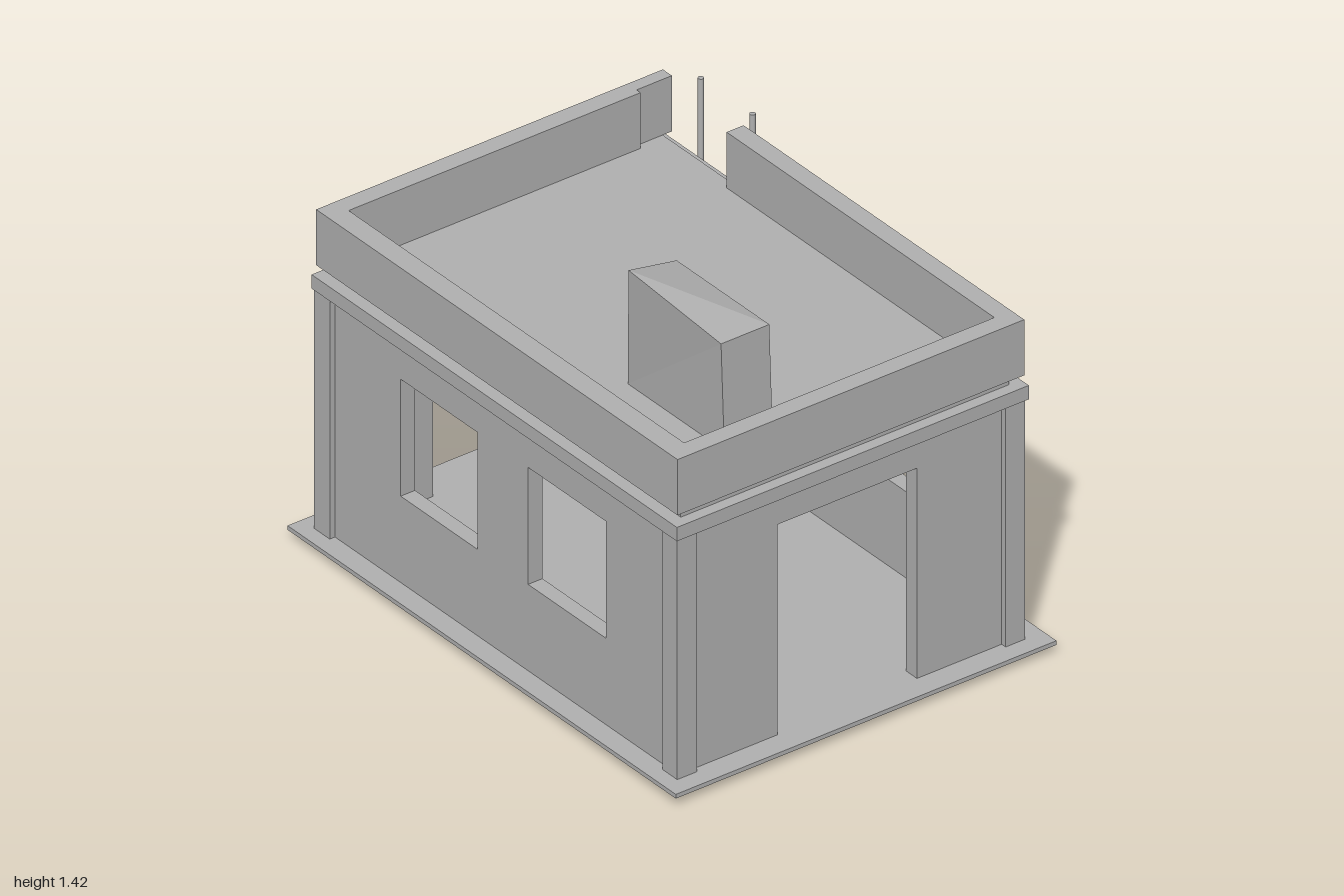
import * as THREE from 'three';

export function createModel() {
  const model = new THREE.Group();
  model.name = 'flatRoofBuilding';
  const concrete = new THREE.MeshStandardMaterial({ color: 0xb2b2b2 });
  concrete.name = 'concrete grey';

  function add(name, geometry) {
    const mesh = new THREE.Mesh(geometry, concrete);
    mesh.name = name;
    model.add(mesh);
    return mesh;
  }
  // Box given by its limits on each axis
  function box(name, x0, x1, y0, y1, z0, z1) {
    const g = new THREE.BoxGeometry(x1 - x0, y1 - y0, z1 - z0);
    g.translate((x0 + x1) / 2, (y0 + y1) / 2, (z0 + z1) / 2);
    return add(name, g);
  }
  const polygon = (pts, Type = THREE.Shape) => new Type(pts.map(p => new THREE.Vector2(...p)));
  const rect = (a, b, c, d) => [[a, c], [b, c], [b, d], [a, d]];

  // Base
  box('foundation', -0.85, 0.9, 0, 0.03, -0.62, 0.64);
  box('groundSlab', -0.95, 1, 0.03, 0.045, -0.725, 0.735);

  // Corner pilasters
  const floor = 0.045, top = 0.905;
  for (const [x0, x1] of [[-0.89, -0.81], [0.86, 0.935]])
    for (const [z0, z1] of [[-0.655, -0.58], [0.605, 0.68]])
      box('cornerPilaster', x0, x1, floor, top, z0, z1);

  // Front and back walls with two windows each, set back from the pilasters
  const thickness = 0.055;
  function windowWall(name, z, openings) {
    const shape = polygon(rect(-0.81, 0.86, floor, top));
    for (const [a, b] of openings)
      shape.holes.push(polygon(rect(a, b, 0.355, 0.775), THREE.Path));
    const g = new THREE.ExtrudeGeometry(shape, { depth: thickness, bevelEnabled: false });
    add(name, g.translate(0, 0, z));
  }
  windowWall('frontWall', 0.605, [[-0.48, -0.095], [0.16, 0.55]]);
  windowWall('backWall', -0.635, [[-0.48, -0.115], [0.16, 0.535]]);

  // Side walls with a tall doorway each
  for (const [name, x] of [['rightWall', -0.815], ['leftWall', 0.915]]) {
    const shape = polygon([
      [-0.58, floor], [-0.255, floor], [-0.255, 0.8], [0.28, 0.8],
      [0.28, floor], [0.605, floor], [0.605, top], [-0.58, top],
    ]);
    const g = new THREE.ExtrudeGeometry(shape, { depth: thickness, bevelEnabled: false });
    add(name, g.rotateY(-Math.PI / 2).translate(x, 0, 0));
  }

  // Cornice and roof
  box('cornice', -0.895, 0.94, 0.905, 0.955, -0.665, 0.685);
  box('roofSlab', -0.85, 0.9, 0.955, 0.99, -0.62, 0.64);
  box('roofCurb', -0.71, 0.76, 0.99, 1.005, 0.47, 0.53);

  // Parapet, open at one back corner
  const p0 = 0.99, p1 = 1.19;
  box('frontParapet', -0.885, 0.93, p0, p1, 0.6, 0.675);
  box('leftParapet', 0.865, 0.93, p0, p1, -0.59, 0.6);
  box('backParapet', -0.48, 0.93, p0, p1, -0.655, -0.59);
  box('rightParapet', -0.885, -0.82, p0, p1, -0.52, 0.6);
  box('rightParapetEnd', -0.885, -0.84, p0, p1, -0.655, -0.52);

  // Skewed rooftop block: four base corners, then four top corners
  const c = [
    [0.235, 0.99, 0.335], [0.72, 0.99, 0.335], [0.72, 0.99, 0.15], [0.235, 0.99, 0.15],
    [0.265, 1.42, 0.355], [0.71, 1.37, 0.34], [0.71, 1.37, 0.155], [0.245, 1.37, 0.155],
  ];
  const faces = [0, 1, 5, 0, 5, 4, 1, 2, 6, 1, 6, 5, 2, 3, 7, 2, 7, 6,
    3, 0, 4, 3, 4, 7, 4, 5, 6, 4, 6, 7, 0, 3, 2, 0, 2, 1];
  const block = new THREE.BufferGeometry();
  block.setAttribute('position', new THREE.Float32BufferAttribute(faces.flatMap(i => c[i]), 3));
  block.computeVertexNormals();
  add('rooftopBlock', block);

  // Utility box and drain pipes
  box('utilityBox', -1, -0.89, 0.03, 0.445, -0.5, -0.258);
  for (const x of [-0.79, -0.53]) {
    const pipe = add('drainPipe', new THREE.CylinderGeometry(0.01, 0.01, 1.14, 10));
    pipe.position.set(x, 0.61, -0.728);
  }

  return model;
}
